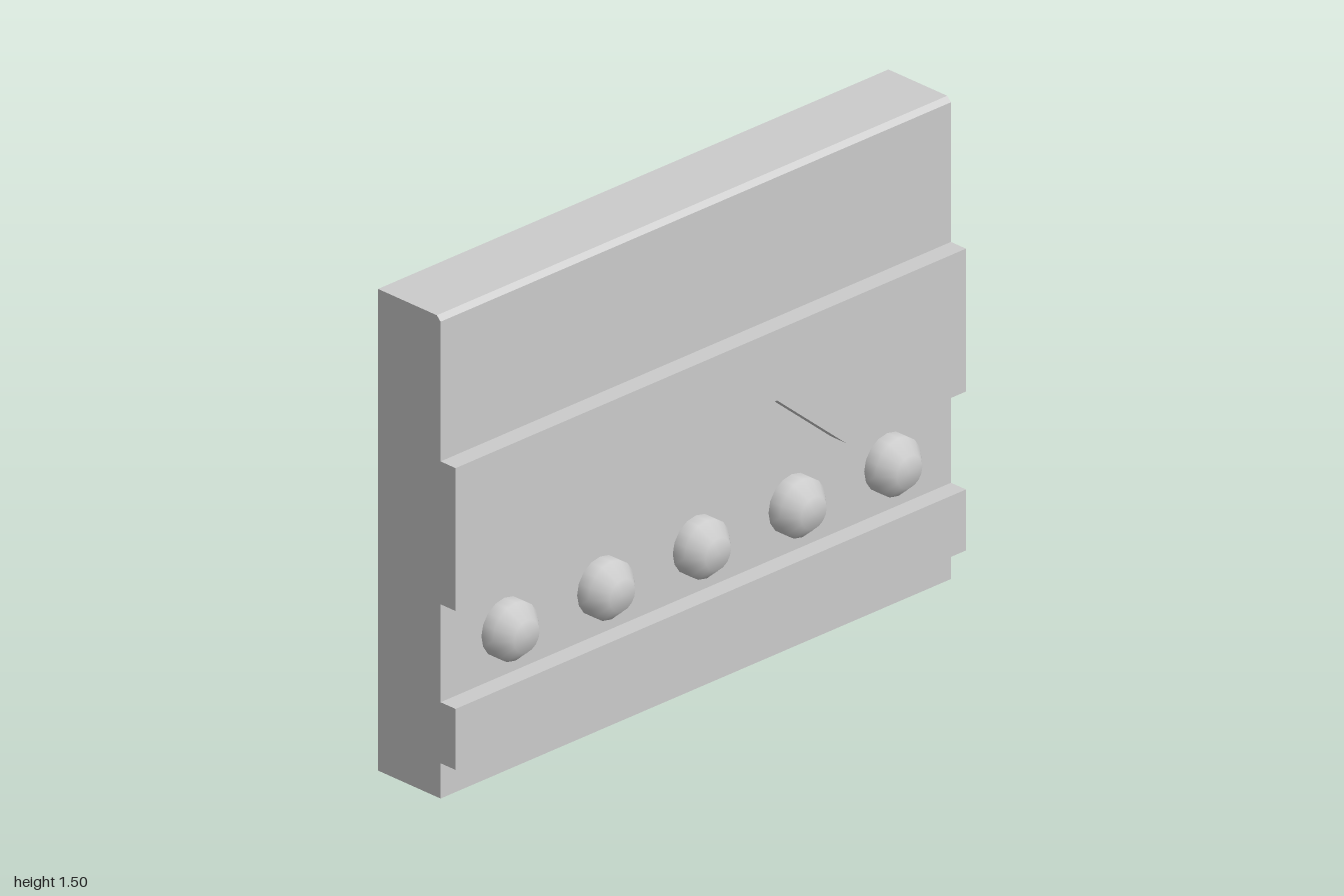
import * as THREE from 'three';

const material = new THREE.MeshStandardMaterial({ color: 0xcccccc });
const FACE_Z = 0.08;   // front face of the slab
const BAND_DEPTH = 0.06;

const toShape = (points) => new THREE.Shape(points.map(([x, y]) => new THREE.Vector2(x, y)));

function addMesh(parent, name, geometry) {
  const mesh = new THREE.Mesh(geometry, material);
  mesh.name = name;
  parent.add(mesh);
  return mesh;
}

// Raised band: outline in x/y, pushed forward from the slab face
function addBand(parent, name, outline) {
  const geometry = new THREE.ExtrudeGeometry(toShape(outline), { depth: BAND_DEPTH, bevelEnabled: false });
  addMesh(parent, name, geometry).position.z = FACE_Z;
}

export function createModel() {
  const model = new THREE.Group();
  model.name = 'wallPanel';

  // Slab: side profile (z, y) with a chamfered top front edge, run along x
  const profile = toShape([[-0.17, 0], [FACE_Z, 0], [FACE_Z, 1.485], [0.065, 1.5], [-0.17, 1.5]]);
  const slab = new THREE.ExtrudeGeometry(profile, { depth: 2, bevelEnabled: false });
  slab.rotateY(-Math.PI / 2).translate(1, 0, 0);
  addMesh(model, 'slab', slab);

  // Lower straight band
  addBand(model, 'lowerBand', [[-1, 0.11], [1, 0.11], [1, 0.3], [-1, 0.3]]);

  // Upper band with a slanted notch in its lower edge
  addBand(model, 'upperBand', [
    [-1, 0.605], [-0.5, 0.605], [-0.28, 0.83], [0.26, 0.83],
    [0.53, 0.605], [1, 0.605], [1, 1.05], [-1, 1.05],
  ]);

  // Row of round studs with bevelled fronts
  const studProfile = [[0.09, 0], [0.09, 0.045], [0.05, 0.09], [0, 0.09]]
    .map(([r, h]) => new THREE.Vector2(r, h));
  const stud = new THREE.LatheGeometry(studProfile, 16).rotateX(Math.PI / 2);
  const studs = new THREE.Group();
  studs.name = 'studs';
  for (let i = -2; i <= 2; i++) {
    addMesh(studs, 'stud', stud).position.set(i * 0.375, 0.45, FACE_Z);
  }
  model.add(studs);

  return model;
}
